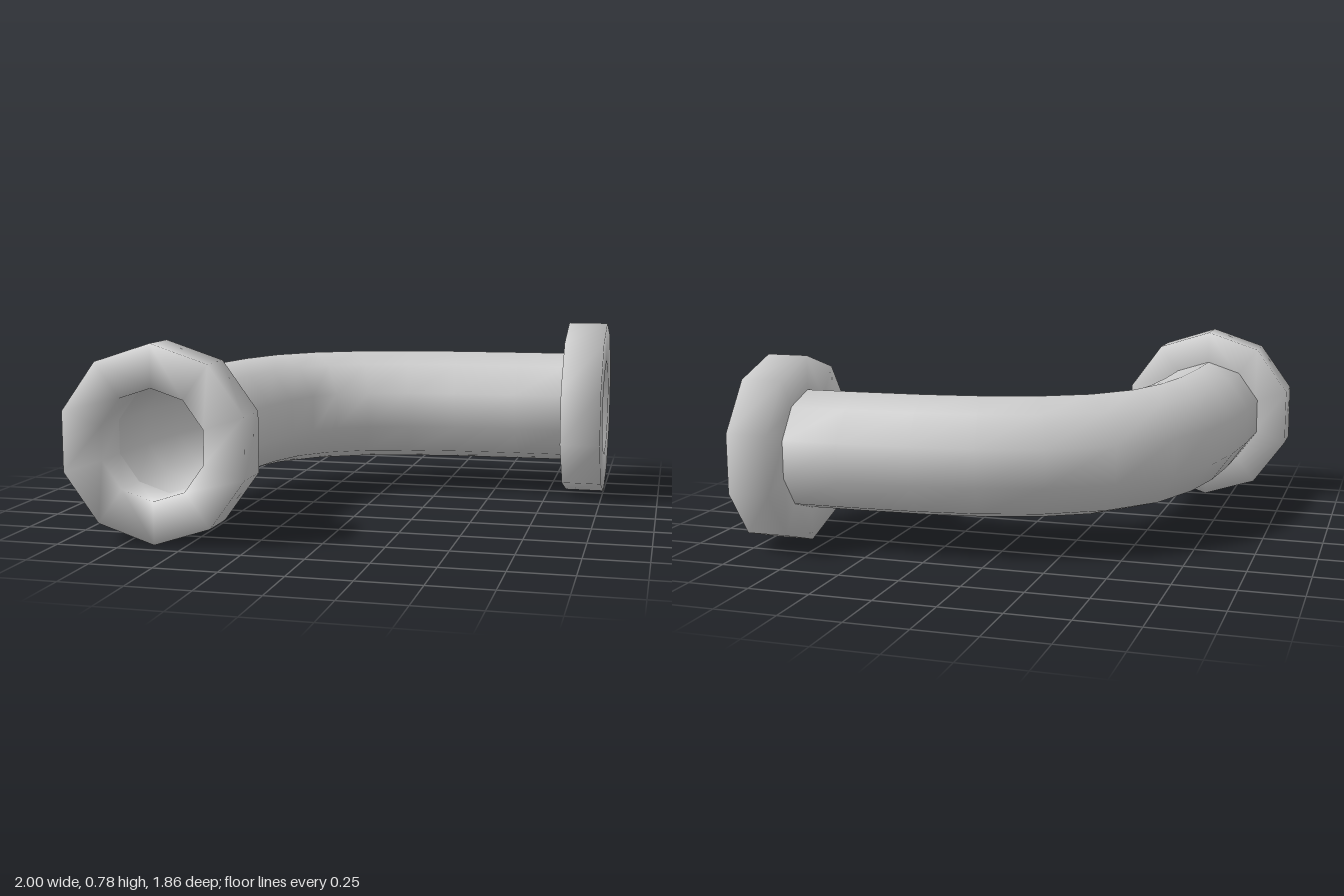
import * as THREE from 'three';

const SIDES = 10, AXIS_Y = 0.392;
const OUTER = 0.25, BORE = 0.22, FLANGE = 0.392;

// Skin a row of rings { x, z, tx, tz, r }; the surface faces outward along the tangent
function skin(name, rings, material) {
  const positions = [], index = [];
  for (const { x, z, tx, tz, r } of rings) {
    for (let j = 0; j < SIDES; j++) {
      const a = (j / SIDES) * Math.PI * 2;
      positions.push(x - tz * r * Math.sin(a), AXIS_Y + r * Math.cos(a), z + tx * r * Math.sin(a));
    }
  }
  for (let i = 0; i < rings.length - 1; i++) {
    for (let j = 0; j < SIDES; j++) {
      const k = (j + 1) % SIDES;
      const a = i * SIDES + j, b = i * SIDES + k, c = a + SIDES, d = b + SIDES;
      index.push(a, b, c, b, d, c);
    }
  }
  const geometry = new THREE.BufferGeometry();
  geometry.setAttribute('position', new THREE.Float32BufferAttribute(positions, 3));
  geometry.setIndex(index);
  geometry.computeVertexNormals();
  const mesh = new THREE.Mesh(geometry, material);
  mesh.name = name;
  return mesh;
}

export function createModel() {
  const group = new THREE.Group();
  group.name = 'pipeElbow';
  const material = new THREE.MeshStandardMaterial({ color: 0xcccccc });

  // Centre line of the bend (x, z), from the front flange to the left flange
  const path = [
    [-0.627, 0.76], [-0.618, 0.51], [-0.595, 0.25], [-0.55, 0.025], [-0.468, -0.18], [-0.33, -0.338],
    [-0.14, -0.445], [0.08, -0.507], [0.315, -0.54], [0.6, -0.555], [0.83, -0.56],
  ];
  const last = path.length - 1;
  const sweep = (r) => path.map(([x, z], i) => {
    const p = path[Math.max(i - 1, 0)], q = path[Math.min(i + 1, last)];
    const t = new THREE.Vector2(q[0] - p[0], q[1] - p[1]).normalize();
    if (i === 0) t.set(0, -1);
    if (i === last) t.set(1, 0);
    return { x, z, tx: t.x, tz: t.y, r };
  });

  // Pipe wall, outside and inside
  group.add(skin('pipe', sweep(OUTER), material));
  group.add(skin('bore', sweep(BORE).reverse(), material));

  // Flange collar: back face, rim, front face and the hole through it
  const flange = (name, x, z, tx, tz, depth) => {
    const profile = [[0, OUTER - 0.01], [0, FLANGE], [depth, FLANGE], [depth, BORE], [0, BORE]];
    const rings = profile.map(([d, r]) => ({ x: x + tx * d, z: z + tz * d, tx, tz, r }));
    group.add(skin(name, rings, material));
  };
  flange('frontFlange', -0.627, 0.757, 0, 1, 0.171);
  flange('leftFlange', 0.826, -0.558, 1, 0, 0.174);

  return group;
}
